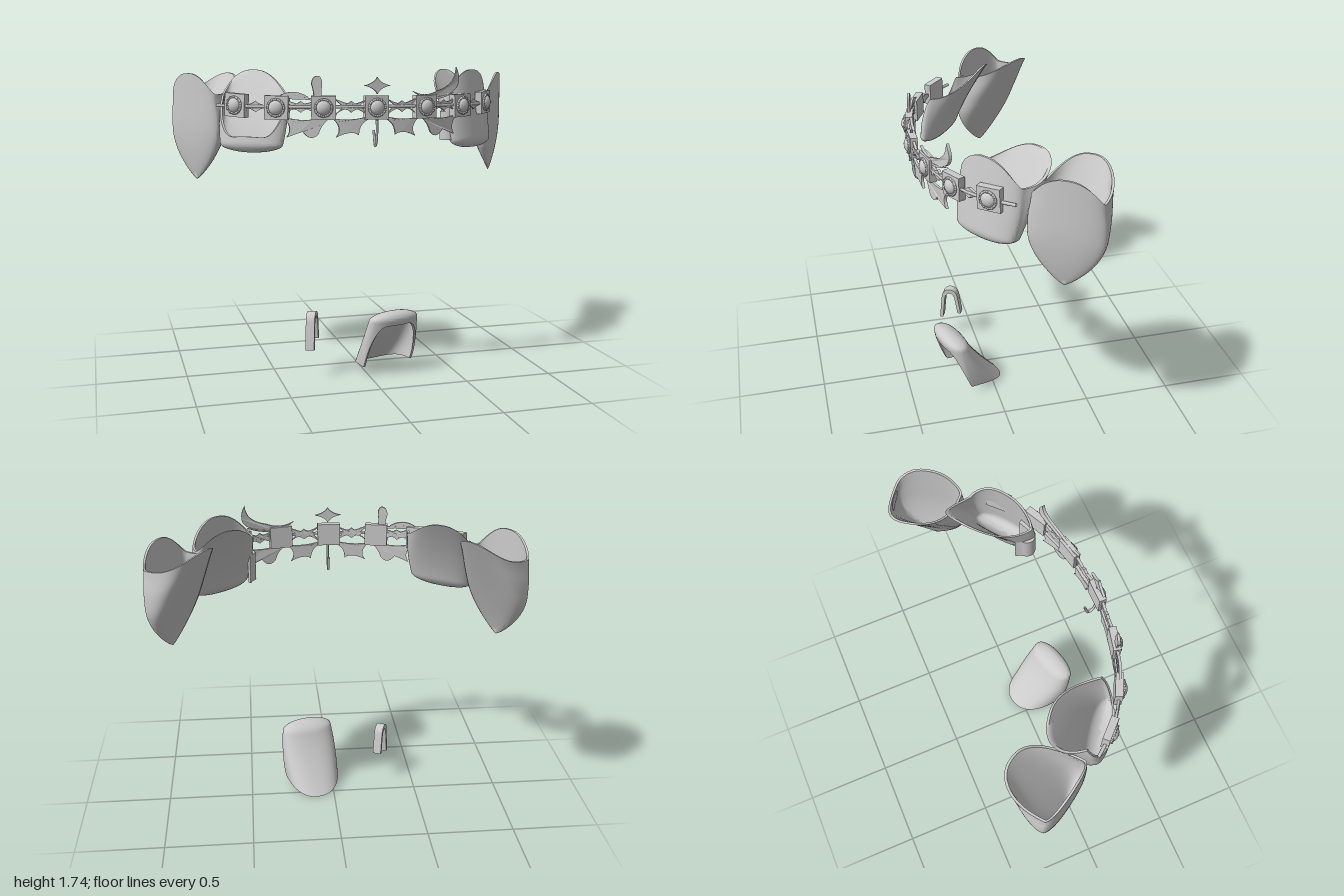
import * as THREE from 'three';
import { toCreasedNormals } from 'three/addons/utils/BufferGeometryUtils.js';

const mat = new THREE.MeshStandardMaterial({ color: 0xcccccc, side: THREE.DoubleSide });
const arcZ = x => 0.41 - 0.4 * x ** 2 - 0.1 * x ** 4 - 0.4 * x ** 8;   // plan curve of the chain
const arcYaw = x => Math.atan(0.8 * x + 0.4 * x ** 3 + 3.2 * x ** 7);
const smooth = THREE.MathUtils.smoothstep;

function add(parent, name, geo) {
  const m = new THREE.Mesh(geo, mat);
  m.name = name;
  parent.add(m);
  return m;
}

const roundIn = (v, r) => Math.sqrt(1 - (1 - Math.min(v / r, 1)) ** 2);
const spow = (c, e) => Math.sign(c) * Math.abs(c) ** e;

// Section half width, outward bulge and inward depth at height fraction v
const incisor = o => v => {
  const r = roundIn(v, 0.14);
  return [o.w * (0.88 + 0.12 * Math.sin(Math.PI * v * 0.75)) * r, 0.06 * r, (0.07 + (o.d - 0.07) * v ** 1.5) * r];
};
const canine = o => v => {
  const r = Math.sin(Math.PI / 2 * Math.min(1, v * 1.7)) ** 0.8;
  return [o.w * r * (1 - 0.08 * smooth(v, 0.7, 1)), 0.05 * r, o.d * v ** 1.1];
};

// Hollow cup: outer wall up to the rim, then inner wall back down; lean tips the rim inward.
// side = -1 mirrors it, open = true cuts the arched front window.
function cup(o) {
  const N = 22, M = 72, th = 0.012, section = o.form(o), pos = [], idx = [];
  const row = (k, inset) => {
    for (let j = 0; j < M; j++) {
      const t = j / M * Math.PI * 2, c = Math.cos(t), s = Math.sin(t);
      const cut = o.open ? 1 - 0.8 * smooth(s, 0, 0.95) ** 0.8 : 1;
      const v = cut * (k / N) ** 1.6;
      const [W, B, D] = section(v).map(q => Math.max(q - inset, 0));
      const b = s > 0 ? B * s : -D * Math.abs(s) ** 0.85;
      const a = W * spow(c, 0.85) - o.skew * Math.min(b, 0);
      const y = v * (o.h0 + o.h1 * s * s) + inset * (1 - k / N);
      pos.push(a * o.side, y, b - o.lean * v);
    }
  };
  for (let k = 0; k <= N; k++) row(k, 0);
  for (let k = N; k >= 0; k--) row(k, th);
  for (let k = 0; k < 2 * N + 1; k++) for (let j = 0; j < M; j++) {
    const p = k * M + j, q = k * M + (j + 1) % M, P = p + M, Q = q + M;
    if (o.side > 0) idx.push(p, P, q, q, P, Q);
    else idx.push(p, q, P, q, Q, P);
  }
  const g = new THREE.BufferGeometry();
  g.setAttribute('position', new THREE.Float32BufferAttribute(pos, 3));
  g.setIndex(idx);
  return toCreasedNormals(g, 0.9);
}

// Flat ornament from a start point and quadratic (control, end) pairs, bent to the chain
function ornament(parent, name, p, side = 1) {
  const s = new THREE.Shape();
  s.moveTo(p[0] * side, p[1]);
  for (let i = 2; i < p.length; i += 4) s.quadraticCurveTo(p[i] * side, p[i + 1], p[i + 2] * side, p[i + 3]);
  const g = new THREE.ExtrudeGeometry(s, { depth: 0.015, bevelEnabled: false, curveSegments: 10 });
  const a = g.attributes.position;
  for (let i = 0; i < a.count; i++) a.setZ(i, a.getZ(i) + arcZ(a.getX(i)) - 0.015);
  g.computeVertexNormals();
  return add(parent, name, g);
}

// Four-pointed concave star outline
const star = (x, y, w, h) => {
  const k = 0.22;
  return [x - w, y, x - w * k, y + h * k, x, y + h, x + w * k, y + h * k, x + w, y,
    x + w * k, y - h * k, x, y - h, x - w * k, y - h * k, x - w, y];
};

// U-shaped strip, arch upward
function clip(parent, name, h, depth) {
  const s = new THREE.Shape();
  s.moveTo(-0.065, 0);
  s.lineTo(-0.05, h - 0.05);
  s.quadraticCurveTo(-0.04, h, 0, h);
  s.quadraticCurveTo(0.04, h, 0.05, h - 0.05);
  s.lineTo(0.07, 0.04);
  s.lineTo(0.05, 0.04);
  s.lineTo(0.03, h - 0.055);
  s.quadraticCurveTo(0, h + 0.005, -0.03, h - 0.055);
  s.lineTo(-0.045, 0);
  const g = new THREE.ExtrudeGeometry(s, { depth, bevelEnabled: false });
  g.translate(0, 0, -depth / 2);
  return add(parent, name, toCreasedNormals(g, 0.6));
}

function bracket(parent, x, y, roll) {
  const g = new THREE.Group();
  g.name = 'bracket';
  add(g, 'bracketBase', new THREE.BoxGeometry(0.13, 0.125, 0.04)).position.z = -0.01;
  add(g, 'bracketRing', new THREE.TorusGeometry(0.043, 0.007, 8, 24)).position.z = 0.012;
  const dome = add(g, 'bracketDome', new THREE.SphereGeometry(0.04, 20, 12));
  dome.scale.z = 0.65;
  dome.position.z = 0.01;
  for (let i = 0; i < 12; i++) {
    const t = i * Math.PI / 6;
    add(g, 'bracketBead', new THREE.SphereGeometry(0.007, 8, 6)).position.set(0.044 * Math.cos(t), 0.044 * Math.sin(t), 0.016);
  }
  g.position.set(x, y, arcZ(x));
  g.rotation.set(0, arcYaw(x), roll);
  parent.add(g);
}

const tube = (pts, r) => new THREE.TubeGeometry(
  new THREE.CatmullRomCurve3(pts.map(p => new THREE.Vector3(...p))), 64, r, 8);

export function createModel() {
  const model = new THREE.Group();
  model.name = 'dentalOrnament';

  // Caps on both sides; the right inner cap has an open face
  for (const side of [1, -1]) {
    const outer = add(model, 'outerCap', cup({ form: canine, side, w: 0.197, d: 0.285, skew: 0.13, lean: 0, h0: 0.48, h1: 0.115 }));
    outer.position.set(0.893 * side, 1.105, -0.185);
    outer.rotation.y = 0.99 * side;
    const inner = add(model, 'innerCap', cup({ form: incisor, side, w: 0.203, d: 0.215, skew: 0.52, lean: 0.06, h0: 0.31, h1: 0.13, open: side < 0 }));
    inner.position.set(0.637 * side, 1.28, 0.155);
    inner.rotation.y = 0.62 * side;
  }

  // Brackets threaded on a wire
  const chain = new THREE.Group();
  chain.name = 'chain';
  model.add(chain);
  [[-0.715, 1.535, -0.06], [-0.52, 1.525, -0.03], [-0.285, 1.525, 0], [-0.005, 1.525, 0],
    [0.28, 1.525, 0], [0.52, 1.525, 0.03], [0.715, 1.535, 0.06]].forEach(b => bracket(chain, ...b));
  const wire = [];
  for (let i = -8; i <= 8; i++) wire.push([i * 0.1, 1.53, arcZ(i * 0.1) - 0.005]);
  add(chain, 'wire', tube(wire, 0.009));

  // Thorned links, mirrored
  for (const s of [1, -1]) {
    for (const x of [0.14, 0.4]) {
      ornament(chain, 'link', star(x, 1.53, 0.1, 0.03), s);
      // crossing bands above and below the wire
      for (const [y0, y1] of [[1.575, 1.48], [1.48, 1.575]]) {
        const m = (y0 + y1) / 2;
        ornament(chain, 'crossBand', [x - 0.09, y0, x - 0.04, m, x, m - 0.012, x + 0.05, m, x + 0.09, y1,
          x + 0.03, m + 0.02, x, m + 0.015, x - 0.05, m + 0.02, x - 0.09, y0], s);
      }
    }
    ornament(chain, 'link', star(0.62, 1.53, 0.09, 0.03), s);
    ornament(chain, 'lowerThorn', [0.03, 1.47, 0.1, 1.45, 0.1, 1.38, 0.14, 1.41, 0.22, 1.37, 0.18, 1.42, 0.24, 1.47, 0.13, 1.45, 0.03, 1.485], s);
    ornament(chain, 'lowerThorn', [0.22, 1.485, 0.29, 1.46, 0.31, 1.39, 0.35, 1.34, 0.39, 1.4, 0.42, 1.39, 0.47, 1.37, 0.43, 1.43, 0.5, 1.485, 0.37, 1.43, 0.22, 1.5], s);
    ornament(chain, 'upperThorn', [0.3, 1.57, 0.37, 1.55, 0.47, 1.6, 0.4, 1.58, 0.3, 1.57], s);
  }
  ornament(chain, 'centreStar', star(0, 1.64, 0.075, 0.045));
  ornament(chain, 'longHorn', [0.2, 1.61, 0.28, 1.57, 0.36, 1.61, 0.48, 1.64, 0.48, 1.735, 0.54, 1.63, 0.43, 1.59, 0.31, 1.53, 0.2, 1.61]);
  ornament(chain, 'shortHorn', [-0.5, 1.59, -0.43, 1.63, -0.36, 1.58, -0.42, 1.55, -0.5, 1.59]);
  ornament(chain, 'tab', [-0.335, 1.57, -0.33, 1.6, -0.345, 1.65, -0.34, 1.69, -0.315, 1.69, -0.29, 1.69, -0.292, 1.64, -0.3, 1.6, -0.29, 1.57]);

  // Hanging hook
  add(chain, 'hook', tube([[0, 1.46, 0.4], [0, 1.38, 0.4], [0, 1.33, 0.385], [0, 1.32, 0.365], [0, 1.36, 0.35], [0, 1.4, 0.34]], 0.007));

  // Clip wrapped round the inner end of the left inner cap
  const upperClip = clip(model, 'clip', 0.12, 0.16);
  upperClip.position.set(0.535, 1.41, 0.165);
  upperClip.rotation.set(-Math.PI / 2, 2.21, 0, 'YXZ');

  // Detached pieces below: an upturned open cap and a clip
  const loose = add(model, 'looseCap', cup({ form: incisor, side: -1, w: 0.17, d: 0.25, skew: 0.1, lean: 0.07, h0: 0.325, h1: 0.045, open: true }));
  loose.position.set(0.15, 0.37, 0.26);
  loose.rotation.set(0, 0.28, Math.PI);
  const looseClip = clip(model, 'looseClip', 0.21, 0.05);
  looseClip.position.set(-0.305, 0.16, 0.15);
  looseClip.rotation.y = 1.13;
  return model;
}
